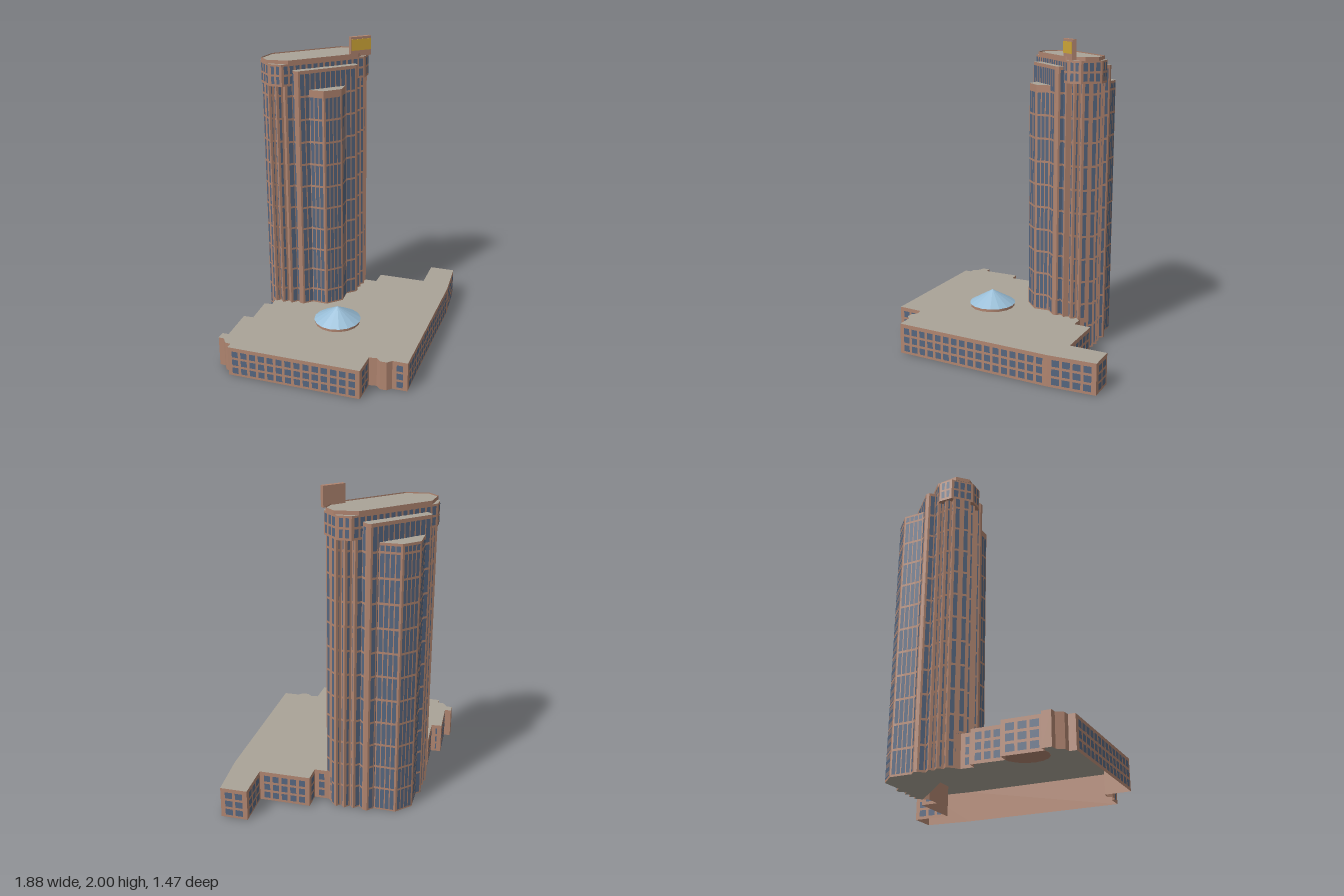
import * as THREE from 'three';
import { mergeGeometries } from 'three/addons/utils/BufferGeometryUtils.js';

const mat = (name, color, side = THREE.FrontSide) => {
  const m = new THREE.MeshStandardMaterial({ color, side });
  m.name = name;
  return m;
};

// Upright rectangle on the wall line a-b (outside on the right-hand walk), from u0 to u1 along it
function panel(a, b, u0, u1, y0, y1, out = 0) {
  const dx = b[0] - a[0], dz = b[1] - a[1], len = Math.hypot(dx, dz);
  const nx = -dz / len, nz = dx / len, u = (u0 + u1) / 2 / len;
  const g = new THREE.PlaneGeometry(u1 - u0, y1 - y0);
  g.rotateY(Math.atan2(nx, nz));
  g.translate(a[0] + dx * u + nx * out, (y0 + y1) / 2, a[1] + dz * u + nz * out);
  return g;
}

// Flat cap filling the outline at height y
function cap(pts, y) {
  const g = new THREE.ShapeGeometry(new THREE.Shape(pts.map(([x, z]) => new THREE.Vector2(x, -z))));
  g.rotateX(-Math.PI / 2);
  g.translate(0, y, 0);
  return g;
}

// Tall storey rows between y0 and y1, with a slim band at every floor
function storeys(y0, y1) {
  const rows = [];
  for (let f = 0.004; f < y1; f += 0.151) {
    const lo = Math.max(f + 0.007, y0 + 0.012), hi = Math.min(f + 0.144, y1);
    if (hi - lo > 0.02) rows.push([lo, hi]);
  }
  return rows;
}

export function createModel() {
  const model = new THREE.Group();
  model.name = 'officeTower';
  const wallMat = mat('terracotta wall', 0xb08570, THREE.DoubleSide);
  const glassMat = mat('blue grey glass', 0x55667f);
  const roofMat = mat('grey roof', 0xaaa397, THREE.DoubleSide);
  const domeMat = mat('pale blue skylight', 0x98bdd6);
  const goldMat = mat('gold panel', 0xd0a838);

  const add = (name, geo, material, parent = model) => {
    const m = new THREE.Mesh(geo, material);
    m.name = name;
    parent.add(m);
    return m;
  };

  // Walls, windows and roof over an outline; an open outline leaves its last side unwalled
  function block(name, pts, y0, y1, o = {}) {
    const { closed = false, rows = [], pitch = 0.04, gap = 0.01, margin = 0.008, floor = null, roofY = y1 } = o;
    const group = new THREE.Group();
    group.name = name;
    const walls = [], glass = [];
    const count = closed ? pts.length : pts.length - 1;
    for (let i = 0; i < count; i++) {
      const a = pts[i], b = pts[(i + 1) % pts.length];
      const len = Math.hypot(b[0] - a[0], b[1] - a[1]);
      walls.push(panel(a, b, 0, len, y0, y1));
      if (len < 0.035) continue;
      const n = Math.max(1, Math.round((len - 2 * margin) / pitch)), w = (len - 2 * margin) / n;
      for (let c = 0; c < n; c++)
        for (const [lo, hi] of rows)
          glass.push(panel(a, b, margin + c * w + gap / 2, margin + (c + 1) * w - gap / 2, lo, hi, 0.003));
    }
    add(name + 'Walls', mergeGeometries(walls), wallMat, group);
    if (glass.length) add(name + 'Windows', mergeGeometries(glass), glassMat, group);
    add(name + 'Roof', cap(pts, roofY), roofMat, group);
    if (floor) add(name + 'Floor', cap(pts, y0), floor, group);
    model.add(group);
  }

  // Low podium
  const podium = [
    [-0.31, 0.67], [-0.19, 0.56], [-0.15, 0.59], [-0.15, 0.63], [-0.12, 0.66], [-0.08, 0.66],
    [-0.01, 0.73], [0.74, 0], [0.94, -0.23], [0.82, -0.35], [0.65, -0.18], [0.42, -0.41],
    [0.34, -0.335], [0.275, -0.40], [0.275, -0.48], [-0.415, -0.48], [-0.415, -0.41], [-0.47, -0.35],
    [-0.51, -0.385], [-0.65, -0.235], [-0.70, -0.28], [-0.87, -0.10], [-0.90, -0.13],
    [-0.94, -0.09], [-0.915, -0.06], [-0.925, -0.01], [-0.9, 0.02], [-0.93, 0.05],
  ];
  block('podium', podium, 0, 0.2, {
    closed: true, pitch: 0.06, gap: 0.018, margin: 0.02,
    rows: [[0.018, 0.06], [0.076, 0.118], [0.134, 0.176]],
  });

  // Main shaft with stepped corners, front and back halves
  const cx = -0.07, mid = -0.44;
  const mirrored = (half) => [...half.map(([x, z]) => [2 * cx - x, z]).reverse(), ...half];
  const frontShaft = mirrored([[0.2, -0.31], [0.2, -0.345], [0.245, -0.345], [0.245, -0.385], [0.28, -0.385], [0.28, mid]]);
  const flipZ = (pts) => pts.map(([x, z]) => [x, 2 * mid - z]).reverse();
  block('frontShaft', frontShaft, 0.2, 1.74, { rows: storeys(0.2, 1.73), pitch: 0.045, gap: 0.014 });
  block('backShaft', flipZ(frontShaft), 0, 1.74, { rows: storeys(0, 1.73), pitch: 0.045, gap: 0.014, floor: roofMat });

  // Projecting slabs on front and back
  const frontSlab = [[-0.285, -0.44], [-0.285, -0.275], [-0.27, -0.26], [0.14, -0.26], [0.155, -0.275], [0.155, -0.44]];
  const backSlab = [[0.155, -0.44], [0.155, -0.62], [0.14, -0.635], [-0.27, -0.635], [-0.285, -0.62], [-0.285, -0.44]];
  block('frontSlab', frontSlab, 0.2, 1.83, { rows: storeys(0.2, 1.81), pitch: 0.036, gap: 0.008 });
  block('backSlab', backSlab, 0, 1.83, { rows: storeys(0, 1.81), pitch: 0.036, gap: 0.008, floor: roofMat });

  // Angled bays at the centre of each long side
  const frontBay = [[-0.2, -0.26], [-0.13, -0.185], [-0.005, -0.185], [0.06, -0.26]];
  const backBay = [[0.09, -0.635], [-0.005, -0.735], [-0.13, -0.735], [-0.23, -0.635]];
  block('frontBay', frontBay, 0.2, 1.705, { rows: storeys(0.2, 1.665), pitch: 0.031, gap: 0.007 });
  block('backBay', backBay, 0, 1.72, { rows: storeys(0, 1.705), pitch: 0.031, gap: 0.007, floor: roofMat });

  // Overhanging crown and its parapet
  const crown = [
    [-0.36, -0.31], [0.225, -0.31], [0.285, -0.37], [0.285, -0.51],
    [0.225, -0.57], [-0.36, -0.57], [-0.42, -0.51], [-0.42, -0.37],
  ];
  block('crown', crown, 1.73, 1.87, {
    closed: true, rows: [[1.745, 1.793], [1.807, 1.858]], pitch: 0.042, gap: 0.014, floor: wallMat,
  });
  const parapet = [
    [-0.315, -0.308], [0.18, -0.308], [0.29, -0.395], [0.29, -0.485],
    [0.18, -0.573], [-0.315, -0.573], [-0.425, -0.485], [-0.425, -0.395],
  ];
  block('parapet', parapet, 1.868, 1.893, { closed: true, roofY: 1.886 });

  // Rooftop sign board with gold face
  add('signBoard', new THREE.BoxGeometry(0.145, 0.125, 0.028), wallMat).position.set(0.2, 1.9375, -0.328);
  add('signFace', new THREE.BoxGeometry(0.141, 0.072, 0.004), goldMat).position.set(0.2, 1.948, -0.313);

  // Conical skylight on a low drum
  add('skylightDrum', new THREE.CylinderGeometry(0.15, 0.15, 0.022, 16), wallMat).position.set(-0.165, 0.209, 0.063);
  const cone = new THREE.ConeGeometry(0.155, 0.09, 16).toNonIndexed();
  cone.computeVertexNormals();
  add('skylight', cone, domeMat).position.set(-0.165, 0.265, 0.063);

  return model;
}
